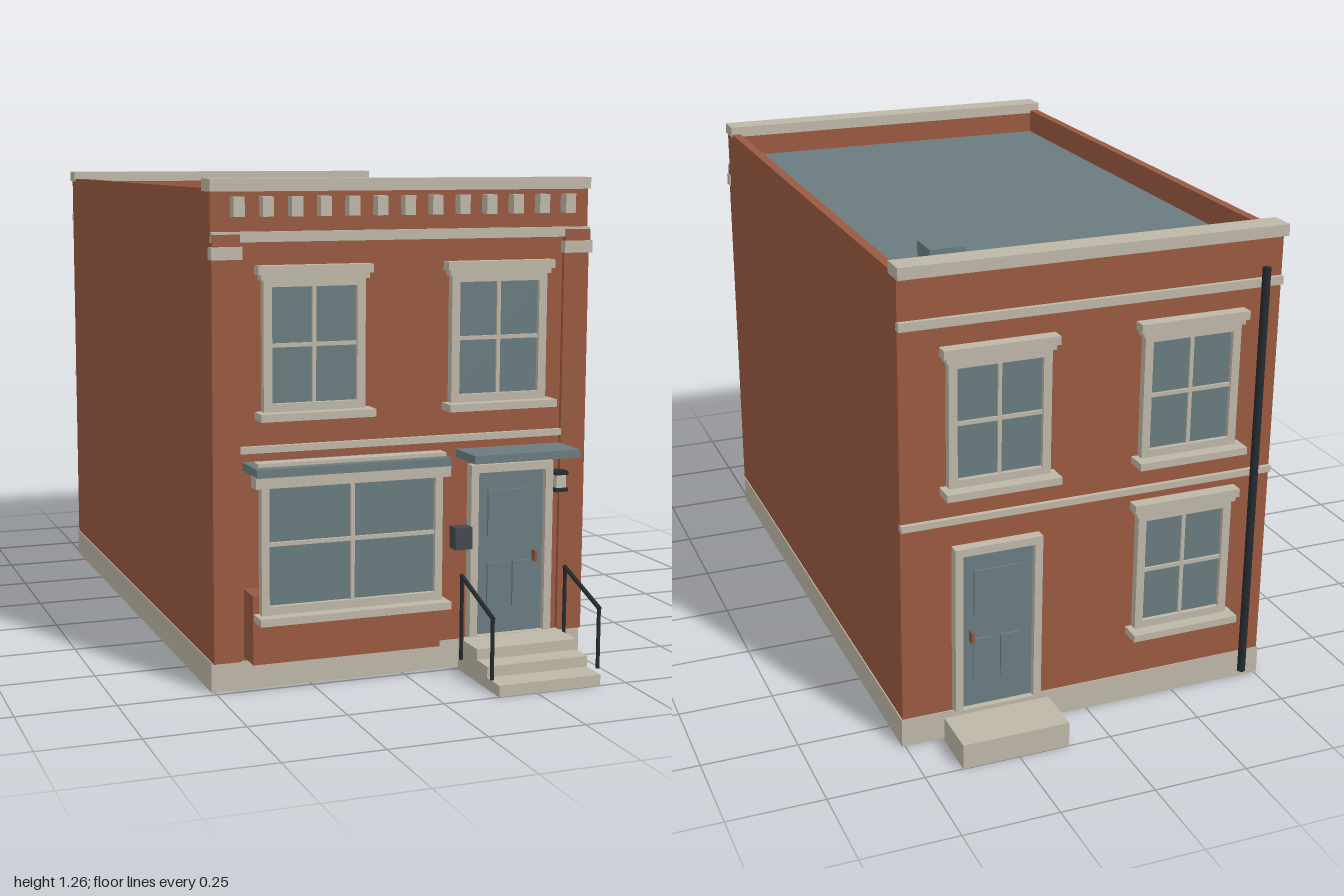
import * as THREE from 'three';

const mat = (name, color) => Object.assign(new THREE.MeshStandardMaterial({ color }), { name });

export function createModel() {
  const brick = mat('brick', 0x99593f), stone = mat('stone', 0xbdb7a7);
  const slate = mat('slate', 0x6a7b80), glass = mat('glass', 0x687a7e);
  const iron = mat('iron', 0x262b2f), metal = mat('greyMetal', 0x42494c);
  const copper = mat('copper', 0x8a5a3c), lampGlass = mat('lampGlass', 0xc2beb4);

  const house = new THREE.Group();
  house.name = 'townhouse';

  // box from its extents on each axis
  function box(parent, name, m, x0, x1, y0, y1, z0, z1) {
    const mesh = new THREE.Mesh(new THREE.BoxGeometry(x1 - x0, y1 - y0, z1 - z0), m);
    mesh.position.set((x0 + x1) / 2, (y0 + y1) / 2, (z0 + z1) / 2);
    mesh.name = name;
    parent.add(mesh);
    return mesh;
  }

  // round bar between two points
  function bar(name, m, a, b, r) {
    const p = new THREE.Vector3(...a), q = new THREE.Vector3(...b);
    const mesh = new THREE.Mesh(new THREE.CylinderGeometry(r, r, p.distanceTo(q), 10), m);
    mesh.position.copy(p).lerp(q, 0.5);
    mesh.quaternion.setFromUnitVectors(new THREE.Vector3(0, 1, 0), q.sub(p).normalize());
    mesh.name = name;
    house.add(mesh);
  }

  // group on the front or back wall; local z points away from the wall
  function wallGroup(name, x, y, z, back) {
    const g = new THREE.Group();
    g.name = name;
    g.position.set(x, y, z);
    if (back) g.rotation.y = Math.PI;
    house.add(g);
    return g;
  }

  // frame with a rectangular opening, bottom at local y = 0
  function frame(g, w, h, t, bottom, depth) {
    const s = new THREE.Shape([[-w / 2, 0], [w / 2, 0], [w / 2, h], [-w / 2, h]].map(p => new THREE.Vector2(...p)));
    const i = w / 2 - t;
    s.holes.push(new THREE.Path([[-i, bottom], [-i, h - t], [i, h - t], [i, bottom]].map(p => new THREE.Vector2(...p))));
    const mesh = new THREE.Mesh(new THREE.ExtrudeGeometry(s, { depth, bevelEnabled: false }), stone);
    mesh.name = 'frame';
    g.add(mesh);
  }

  // four-pane window with sill and stepped lintel
  function sashWindow(name, x, y, z, back = false) {
    const g = wallGroup(name, x, y, z, back);
    frame(g, 0.264, 0.34, 0.022, 0.034, 0.022);
    box(g, 'glass', glass, -0.115, 0.115, 0.03, 0.322, 0.001, 0.01);
    box(g, 'mullion', stone, -0.005, 0.005, 0.03, 0.322, 0.008, 0.016);
    box(g, 'transom', stone, -0.115, 0.115, 0.171, 0.181, 0.008, 0.016);
    box(g, 'lintel', stone, -0.14, 0.14, 0.335, 0.35, 0, 0.028);
    box(g, 'lintelTop', stone, -0.148, 0.148, 0.348, 0.37, 0, 0.034);
    box(g, 'sill', stone, -0.149, 0.149, -0.005, 0.014, 0, 0.055);
  }

  // panelled door with surround
  function door(name, x, y, z, back, knobSide) {
    const g = wallGroup(name, x, y, z, back);
    frame(g, 0.232, 0.45, 0.021, -0.0001 + 0.001, 0.028);
    box(g, 'leaf', slate, -0.096, 0.096, 0, 0.43, 0, 0.012);
    box(g, 'topPanel', slate, -0.063, 0.063, 0.26, 0.38, 0.01, 0.018);
    for (const s of [-1, 1]) box(g, 'lowerPanel', slate, s * 0.036 - 0.027, s * 0.036 + 0.027, 0.07, 0.19, 0.01, 0.018);
    const k = knobSide * 0.07;
    box(g, 'handle', copper, k - 0.004, k + 0.004, 0.185, 0.215, 0.01, 0.03);
  }

  // shell and roof
  box(house, 'plinth', stone, -0.508, 0.508, 0, 0.076, -0.853, 0.733);
  box(house, 'walls', brick, -0.505, 0.505, 0.07, 1.165, -0.85, 0.73);
  box(house, 'frontBrickwork', brick, -0.505, 0.505, 0.076, 1.235, 0.68, 0.738);
  box(house, 'backParapet', brick, -0.505, 0.505, 1.16, 1.235, -0.85, -0.805);
  for (const s of [-1, 1]) box(house, 'sideParapet', brick, s * 0.4925 - 0.0125, s * 0.4925 + 0.0125, 1.16, 1.24, -0.85, 0.73);
  box(house, 'roof', slate, -0.48, 0.48, 1.15, 1.172, -0.805, 0.68);
  box(house, 'roofHatch', slate, 0.252, 0.345, 1.17, 1.222, -0.635, -0.545);
  box(house, 'frontCoping', stone, -0.508, 0.508, 1.232, 1.262, 0.677, 0.748);
  box(house, 'backCoping', stone, -0.508, 0.508, 1.232, 1.262, -0.87, -0.802);

  // front trim
  for (let i = 0; i < 13; i++) {
    const x = -0.441 + i * 0.0735;
    box(house, 'dentil', stone, x - 0.014, x + 0.014, 1.172, 1.22, 0.73, 0.768);
  }
  box(house, 'corniceBand', stone, -0.505, 0.505, 1.111, 1.136, 0.73, 0.752);
  box(house, 'storeyBand', stone, -0.435, 0.435, 0.597, 0.614, 0.73, 0.75);
  for (const s of [-1, 1]) {
    const c = s * 0.47;
    box(house, 'pilaster', brick, c - 0.035, c + 0.035, 0.076, 1.075, 0.73, 0.748);
    box(house, 'pilasterCap', stone, c - 0.039, c + 0.039, 1.07, 1.101, 0.73, 0.76);
    box(house, 'pilasterBlock', brick, c - 0.035, c + 0.035, 1.1, 1.13, 0.73, 0.756);
    sashWindow('frontWindow', s * 0.248, 0.685, 0.742);
    sashWindow('backWindow', s * 0.255, 0.685, -0.852, true);
  }

  // shop window, held in front of its brick base by the canopy
  box(house, 'shopBase', brick, -0.425, 0.07, 0.085, 0.258, 0.73, 0.813);
  const shop = wallGroup('shopWindow', -0.174, 0.2, 0.815, false);
  frame(shop, 0.474, 0.355, 0.02, 0.035, 0.024);
  box(shop, 'glass', glass, -0.22, 0.22, 0.03, 0.34, 0.002, 0.011);
  box(shop, 'mullion', stone, -0.005, 0.005, 0.03, 0.34, 0.008, 0.018);
  box(shop, 'transom', stone, -0.22, 0.22, 0.182, 0.192, 0.008, 0.018);
  box(shop, 'sill', stone, -0.25, 0.25, -0.005, 0.014, 0, 0.055);
  box(shop, 'lintel', stone, -0.254, 0.254, 0.328, 0.356, -0.005, 0.034);
  box(house, 'shopCanopy', slate, -0.427, 0.077, 0.555, 0.576, 0.73, 0.853);
  box(house, 'canopyStrip', stone, -0.415, 0.077, 0.57, 0.585, 0.79, 0.826);

  // entrance
  door('frontDoor', 0.291, 0.085, 0.738, false, 1);
  box(house, 'doorCanopy', slate, 0.143, 0.437, 0.555, 0.576, 0.73, 0.853);
  box(house, 'mailbox', metal, 0.128, 0.175, 0.32, 0.377, 0.736, 0.775);
  box(house, 'lampGlass', lampGlass, 0.412, 0.439, 0.463, 0.497, 0.745, 0.776);
  box(house, 'lampTop', iron, 0.408, 0.443, 0.497, 0.507, 0.736, 0.78);
  box(house, 'lampBottom', iron, 0.408, 0.443, 0.453, 0.463, 0.736, 0.78);
  box(house, 'lampBack', iron, 0.408, 0.443, 0.453, 0.507, 0.736, 0.748);
  [[0.87, 0.085], [0.93, 0.057], [1, 0.029]].forEach(([z, h], i) =>
    box(house, 'frontStep', stone, 0.148, 0.427, 0, h, i ? [0, 0.87, 0.93][i] : 0.757, z));
  for (const x of [0.143, 0.437]) {
    bar('railPost', iron, [x, 0.035, 0.967], [x, 0.19, 0.967], 0.005);
    bar('railPost', iron, [x, 0.035, 0.785], [x, 0.255, 0.785], 0.005);
    bar('handrail', iron, [x, 0.19, 0.97], [x, 0.255, 0.782], 0.006);
  }

  // back
  box(house, 'backCorniceBand', stone, -0.505, 0.505, 1.105, 1.127, -0.862, -0.84);
  box(house, 'backStoreyBand', stone, -0.505, 0.505, 0.597, 0.614, -0.862, -0.84);
  sashWindow('backLowerWindow', -0.255, 0.205, -0.852, true);
  door('backDoor', 0.257, 0.085, -0.85, true, -1);
  box(house, 'backStep', stone, 0.115, 0.4, 0, 0.067, -1, -0.867);
  bar('drainpipe', iron, [-0.447, 0.03, -0.876], [-0.447, 1.16, -0.876], 0.011);

  return house;
}
